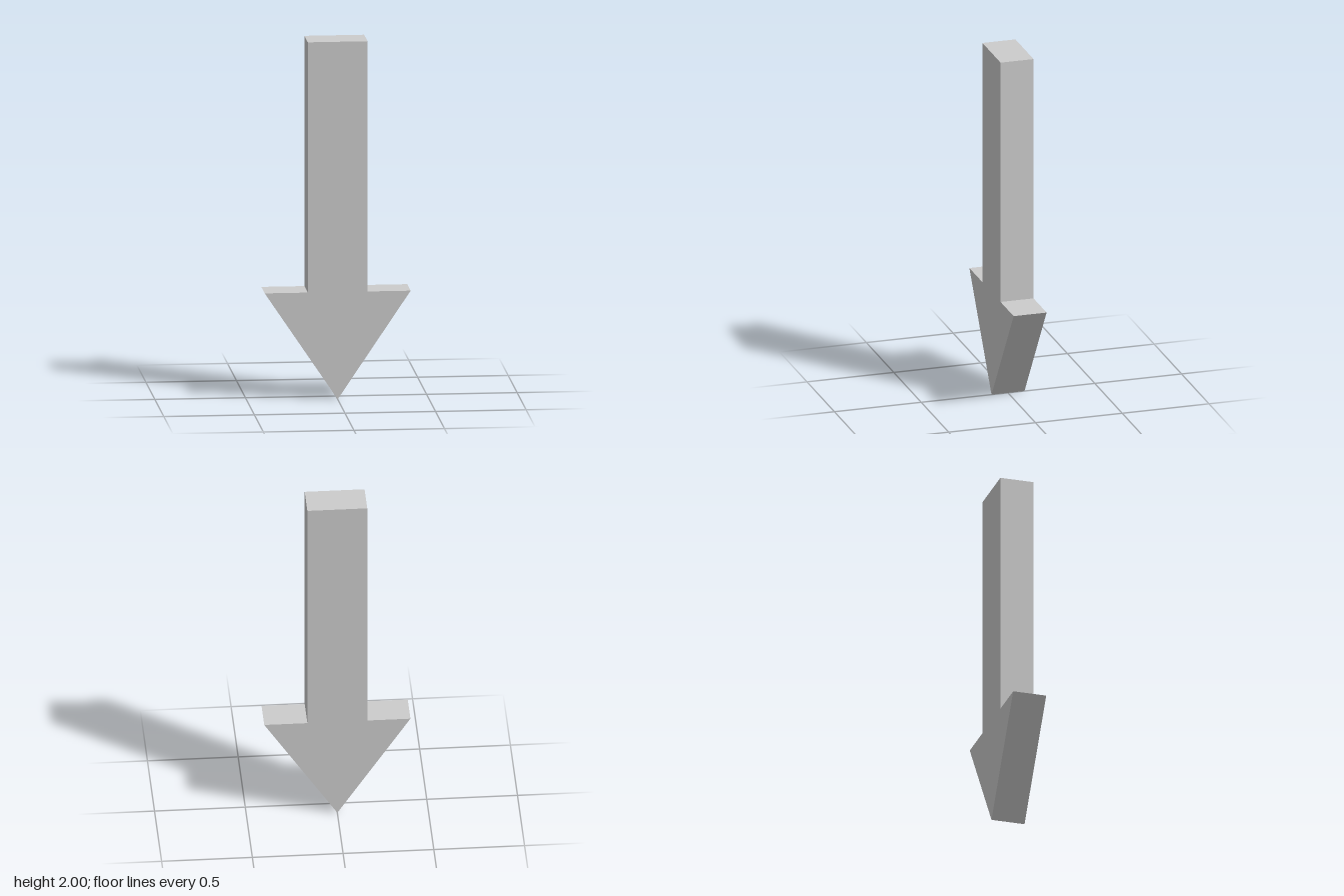
import * as THREE from 'three';

const DEPTH = 0.19;
const HEIGHT = 2;
const HEAD_HEIGHT = 0.6;
const HEAD_HALF = 0.403;
const SHAFT_HALF = 0.165;

export function createModel() {
  const model = new THREE.Group();
  model.name = 'downArrow';

  // Arrow outline, counter-clockwise from the tip
  const outline = new THREE.Shape([
    [0, 0],
    [HEAD_HALF, HEAD_HEIGHT],
    [SHAFT_HALF, HEAD_HEIGHT],
    [SHAFT_HALF, HEIGHT],
    [-SHAFT_HALF, HEIGHT],
    [-SHAFT_HALF, HEAD_HEIGHT],
    [-HEAD_HALF, HEAD_HEIGHT],
  ].map(([x, y]) => new THREE.Vector2(x, y)));

  // Shaft and head as one flat slab, centred on z
  const geometry = new THREE.ExtrudeGeometry(outline, { depth: DEPTH, bevelEnabled: false });
  geometry.translate(0, 0, -DEPTH / 2);

  const material = new THREE.MeshStandardMaterial({ color: 0xcccccc, flatShading: true });
  const arrow = new THREE.Mesh(geometry, material);
  arrow.name = 'arrowBody';
  model.add(arrow);

  return model;
}
